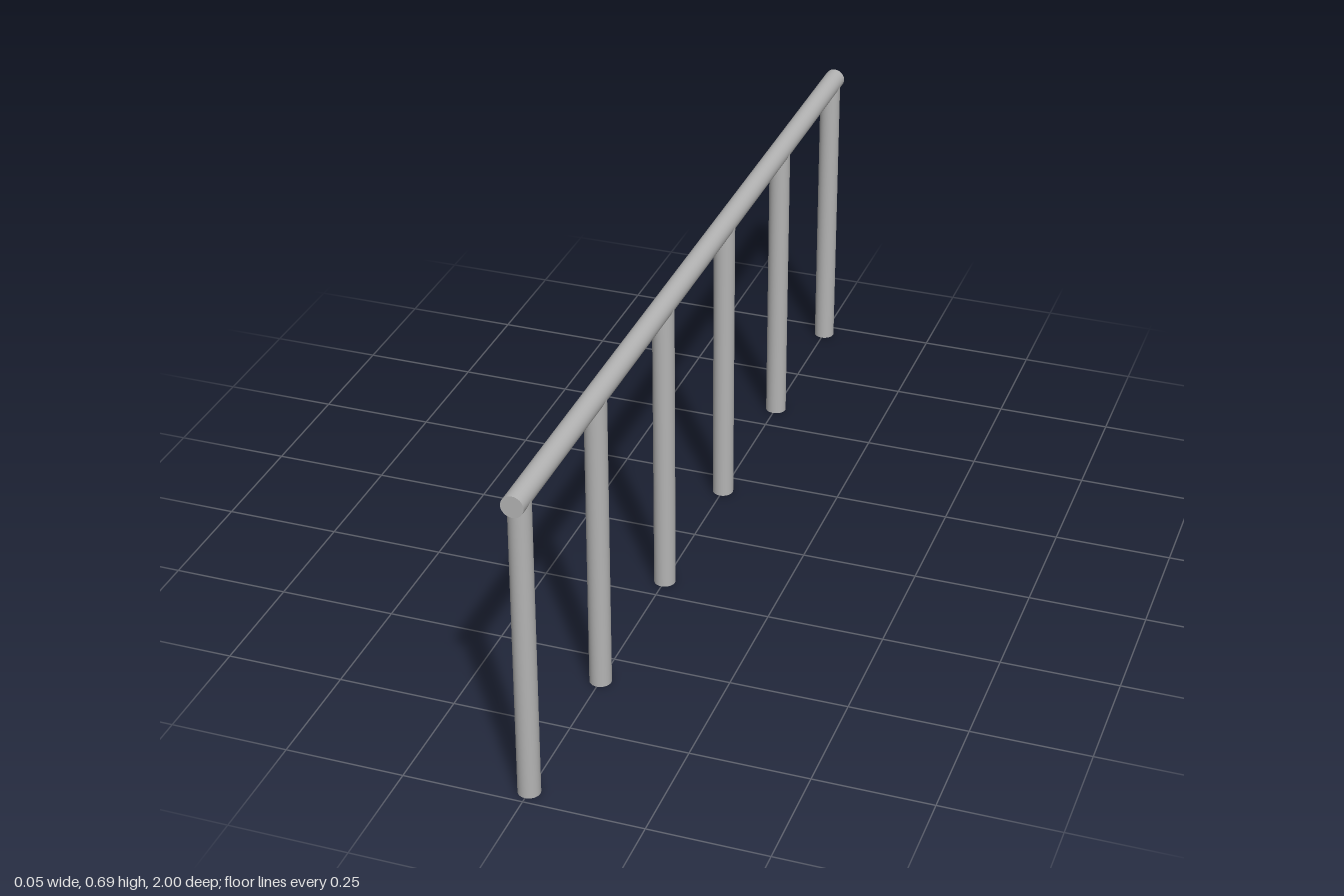
import * as THREE from 'three';

const RADIUS = 0.023;
const RAIL_Y = 0.666;
const POSTS = 6;
const SPACING = 0.386;

export function createModel() {
  const group = new THREE.Group();
  group.name = 'railing';
  const metal = new THREE.MeshStandardMaterial({ color: 0xb4b4b4 });
  metal.name = 'grey metal';

  const addTube = (name, length) => {
    const mesh = new THREE.Mesh(new THREE.CylinderGeometry(RADIUS, RADIUS, length, 32), metal);
    mesh.name = name;
    group.add(mesh);
    return mesh;
  };

  // Handrail running front to back
  const rail = addTube('handrail', 2);
  rail.rotation.x = Math.PI / 2;
  rail.position.y = RAIL_Y;

  // Evenly spaced posts, ending on the axis of the rail
  for (let i = 0; i < POSTS; i++) {
    const post = addTube(`post${i + 1}`, RAIL_Y);
    post.position.set(0, RAIL_Y / 2, (i - (POSTS - 1) / 2) * SPACING);
  }
  return group;
}
